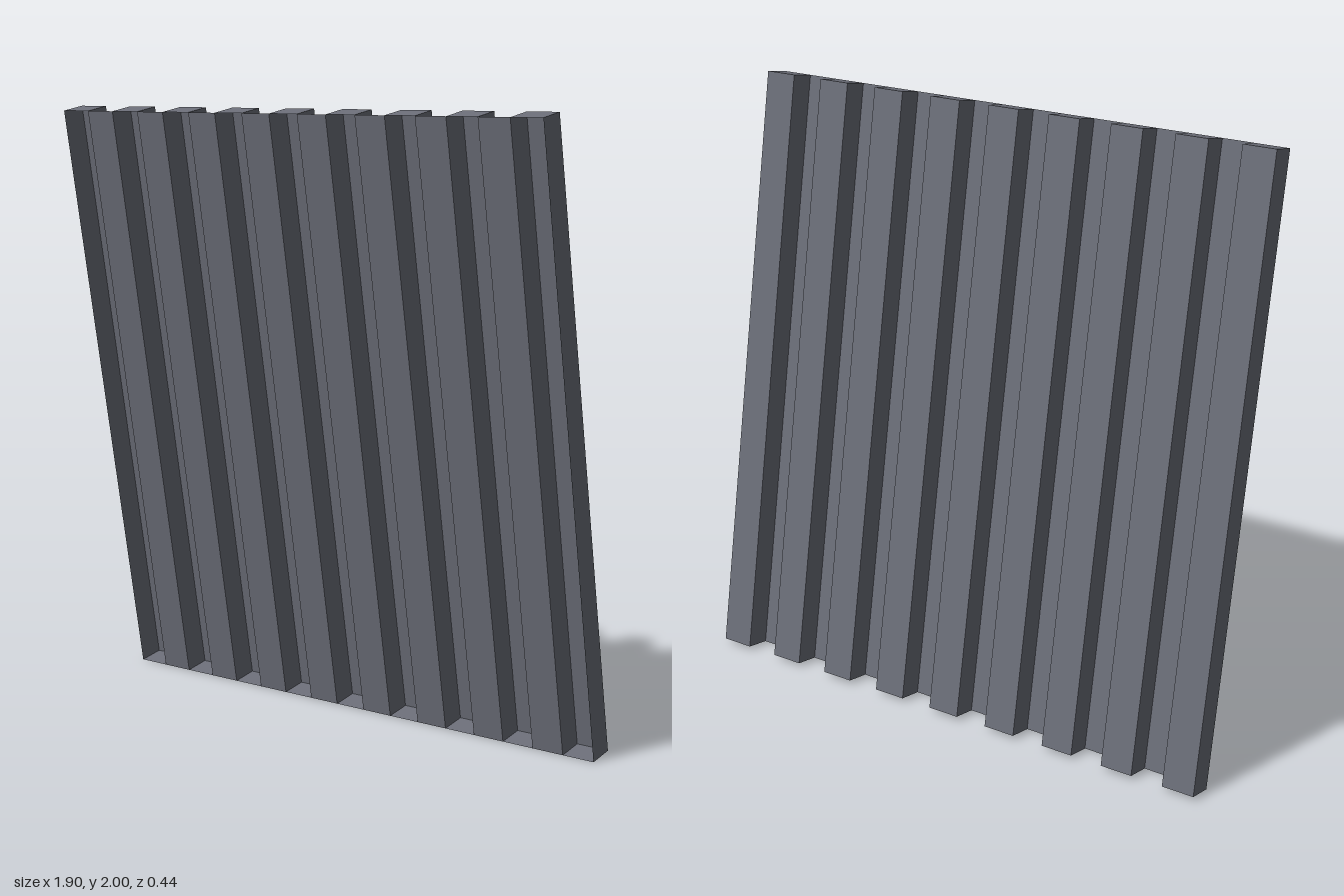
import * as THREE from 'three';

const WIDTH = 1.9, LENGTH = 2.0154, DEPTH = 0.0875;
const RIBS = 9, STEP = WIDTH / (2 * RIBS - 1);

export function createModel() {
  const steel = new THREE.MeshStandardMaterial({ color: 0x6b6e78, side: THREE.DoubleSide });
  steel.name = 'dark steel';

  // one flat sheet, turned to face the wanted way
  const sheet = (name, w, h, pos, rx = 0, ry = 0) => {
    const mesh = new THREE.Mesh(new THREE.PlaneGeometry(w, h), steel);
    mesh.name = name;
    mesh.position.set(...pos);
    mesh.rotation.set(rx, ry, 0);
    return mesh;
  };

  const panel = new THREE.Group();
  panel.name = 'corrugatedPanel';
  for (let i = 0; i < 2 * RIBS - 1; i++) {
    const x = -WIDTH / 2 + (i + 0.5) * STEP;
    if (i % 2) {
      // flat strip in the front plane between two ribs
      panel.add(sheet('frontStrip', STEP, LENGTH, [x, 0, DEPTH / 2]));
      continue;
    }
    // hollow rib, open to the front and capped at both ends
    const rib = new THREE.Group();
    rib.name = 'rib';
    rib.add(sheet('ribBack', STEP, LENGTH, [x, 0, -DEPTH / 2], 0, Math.PI));
    for (const s of [-1, 1]) {
      rib.add(sheet('ribSide', DEPTH, LENGTH, [x + s * STEP / 2, 0, 0], 0, s * Math.PI / 2));
      rib.add(sheet('ribCap', STEP, DEPTH, [x, s * LENGTH / 2, 0], -s * Math.PI / 2));
    }
    panel.add(rib);
  }

  // the panel leans forward
  panel.rotation.x = THREE.MathUtils.degToRad(10);
  panel.position.y = 1;

  const model = new THREE.Group();
  model.name = 'leaningPanel';
  model.add(panel);
  return model;
}
